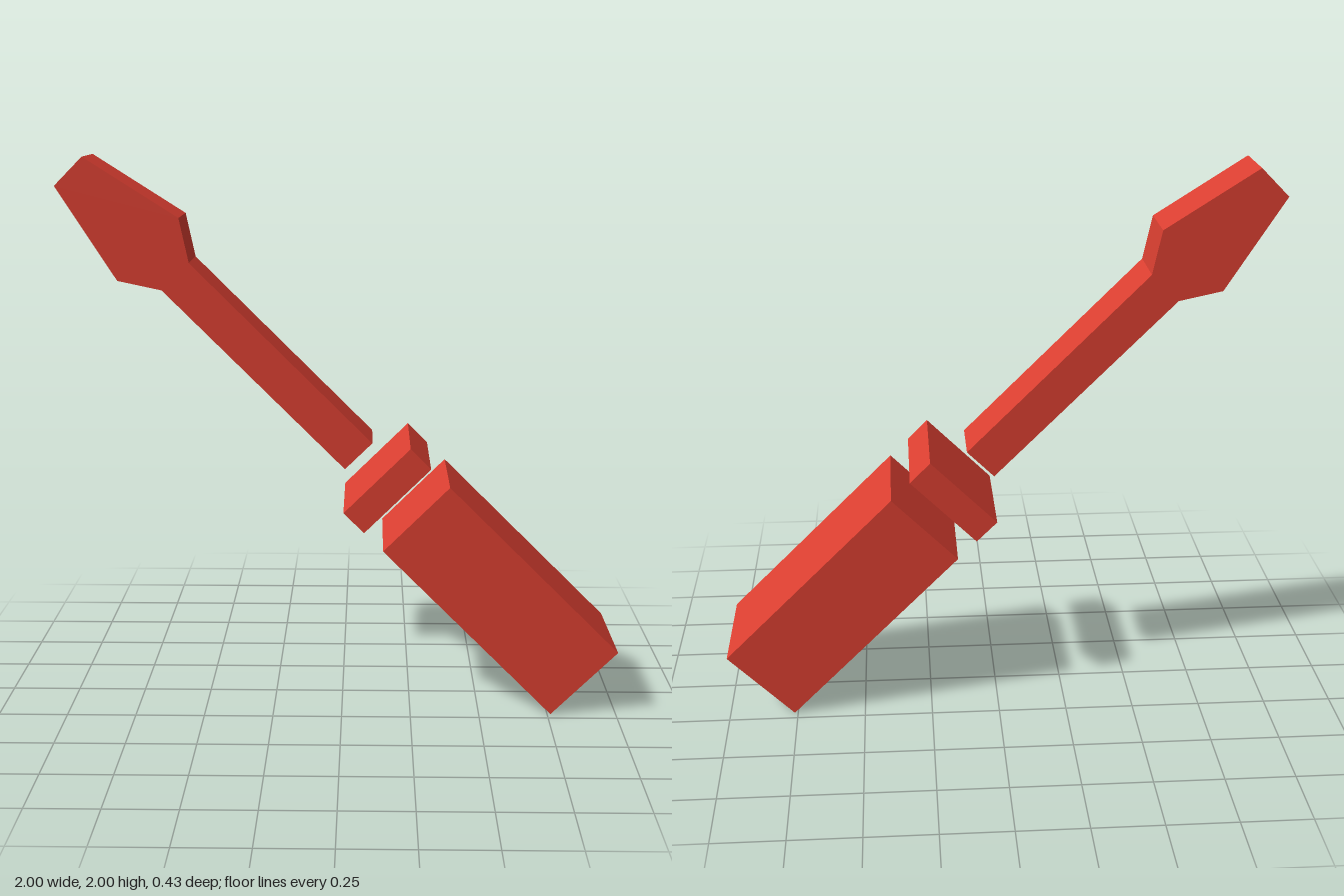
import * as THREE from 'three';

const red = new THREE.MeshStandardMaterial({ name: 'red', color: 0xdb3f31 });

// Flat outline in the xy plane, thickened evenly about z = 0
function slab(name, outline, depth) {
  const shape = new THREE.Shape(outline.map(([x, y]) => new THREE.Vector2(x, y)));
  const geometry = new THREE.ExtrudeGeometry(shape, { depth, bevelEnabled: false });
  geometry.translate(0, 0, -depth / 2);
  const mesh = new THREE.Mesh(geometry, red);
  mesh.name = name;
  return mesh;
}

export function createModel() {
  const model = new THREE.Group();
  model.name = 'screwdriver';

  // Shaft with a flared, tapering flat tip
  model.add(slab('shaftAndTip', [
    [-1, 1.9], [-0.79, 1.57], [-0.635, 1.537], [0.01, 0.892],
    [0.108, 0.988], [-0.537, 1.633], [-0.57, 1.79], [-0.9, 2],
  ], 0.22));

  // Collar floating between the shaft and the grip
  model.add(slab('collar', [
    [0.006, 0.757], [0.08, 0.684], [0.316, 0.918], [0.243, 0.992],
  ], 0.43));

  // Square grip
  model.add(slab('handle', [
    [0.148, 0.616], [0.762, 0], [1, 0.238], [0.384, 0.852],
  ], 0.43));

  return model;
}
